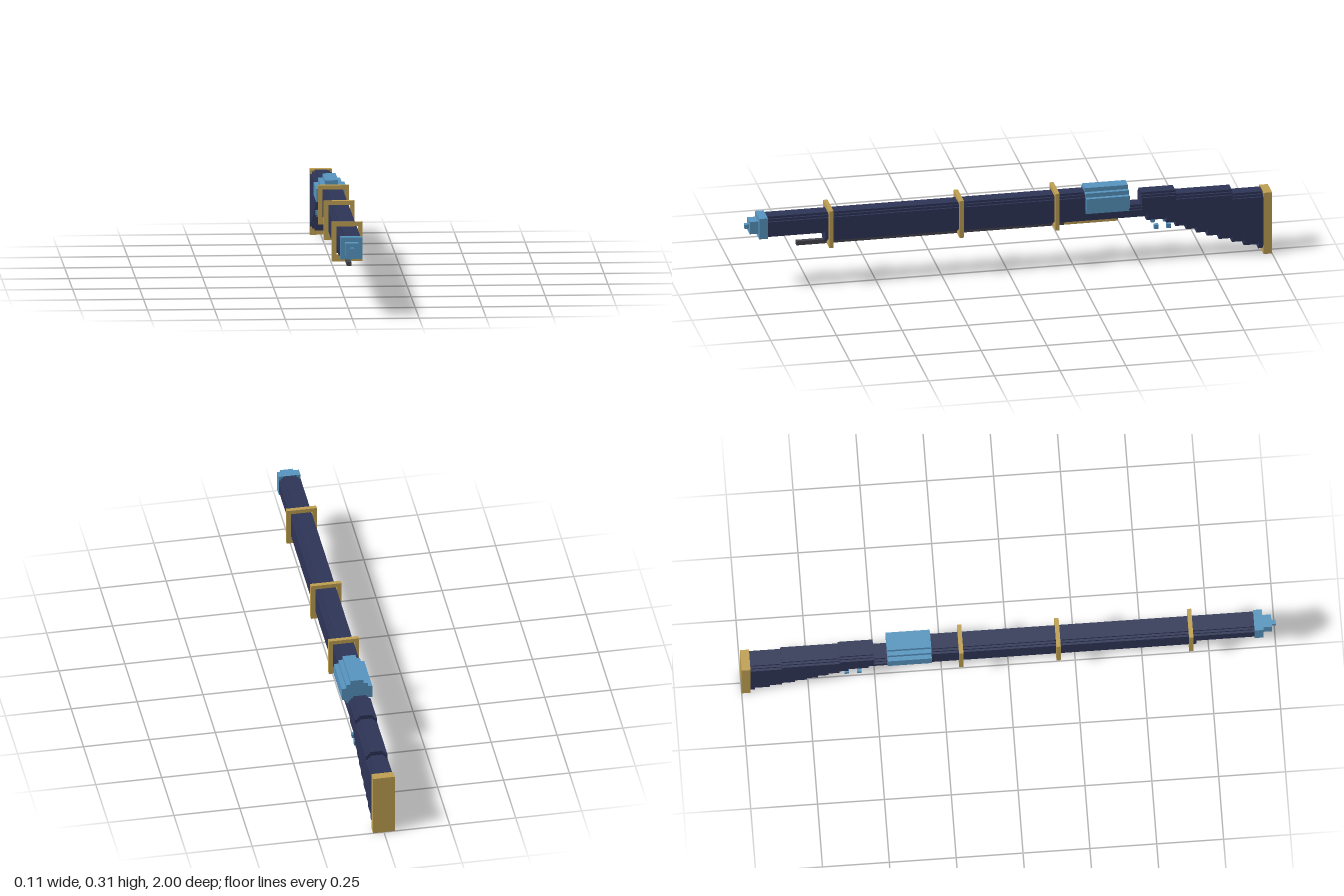
import * as THREE from 'three';

const U = 2 / 122; // block size
const H = U / 2;

export function createModel() {
  const group = new THREE.Group();
  group.name = 'rifle';
  const mat = (name, color) => {
    const m = new THREE.MeshStandardMaterial({ color });
    m.name = name;
    return m;
  };
  const navy = mat('navy', 0x2e3557);
  const blue = mat('steel blue', 0x5795c0);
  const gold = mat('brass', 0xc0a052);
  const grey = mat('dark grey', 0x45454d);

  // extrude an outline from z0 up to z1
  const extrude = (name, pts, z0, z1, material) => {
    const shape = new THREE.Shape(pts.map(([x, y]) => new THREE.Vector2(x, y)));
    const geo = new THREE.ExtrudeGeometry(shape, { depth: z1 - z0, bevelEnabled: false });
    const mesh = new THREE.Mesh(geo, material);
    mesh.name = name;
    mesh.position.z = z0;
    group.add(mesh);
    return mesh;
  };
  // mirror a right-hand half outline (bottom to top) across x = 0
  const mirrored = (half) => [...half, ...half.map(([x, y]) => [-x, y]).reverse()];
  const box = (name, x0, x1, y0, y1, z0, z1, material) =>
    extrude(name, [[x0, y0], [x1, y0], [x1, y1], [x0, y1]], z0, z1, material);

  const W = 2.5 * U;
  // stepped edges that round off the bottom and top of a bar
  const bottom = (y) => [[W - U, y], [W - U, y + H], [W - H, y + H], [W - H, y + U], [W, y + U]];
  const top = (y) => [[W, y - U], [W - H, y - U], [W - H, y - H], [W - U, y - H], [W - U, y]];
  const bar = (name, y0, y1, z0, z1, roundBottom = true, roundTop = true) =>
    extrude(name, mirrored([
      ...(roundBottom ? bottom(y0) : [[W, y0]]),
      ...(roundTop ? top(y1) : [[W, y1]]),
    ]), z0, z1, navy);

  const yr = 0.167;       // ramrod level
  const yf = yr + U;      // underside of fore stock
  const yc = 0.258;       // bore axis

  // barrel and fore stock
  bar('barrel', yc - W, yc + W, 0.69, 0.918);
  bar('foreStock', yf, yc + W, -0.29, 0.7);
  bar('lockBed', yf, 0.233, -0.455, -0.29, true, false);
  bar('wrist', yf, 0.233, -0.51, -0.455, true, true);

  // stepped muzzle
  [[2.5, 0.918, 0.951], [1.5, 0.951, 0.984], [0.5, 0.984, 1]].forEach(([r, z0, z1]) =>
    box('muzzle', -r * U, r * U, yc - r * U, yc + r * U, z0, z1, blue));

  // lock housing
  extrude('lock', mirrored([
    [W + 0.0005, 0.217], [W + 0.0005, 0.233], [3.5 * U, 0.233], [3.5 * U, 0.283],
    [W, 0.283], [W, 0.299], [1.5 * U, 0.299], [1.5 * U, 0.315],
  ]), -0.455, -0.29, blue);

  // barrel bands, open below for the ramrod
  for (const z of [0.68, 0.184, -0.18]) {
    extrude('barrelBand', mirrored([
      [H, yr], [3.5 * U, yr], [3.5 * U, 0.315],
    ]).concat([
      [-H, yr], [-H, yf], [-W + U, yf], [-W + U, yf + H], [-W, yf + H], [-W, 0.299],
      [W, 0.299], [W, yf + H], [W - U, yf + H], [W - U, yf], [H, yf],
    ]).filter((p, i, a) => i === 0 || p[0] !== a[i - 1][0] || p[1] !== a[i - 1][1]),
    z - H, z + H, gold);
  }

  // ramrod and brass rail behind it
  box('ramrod', -H, H, yr, yf, -0.215, 0.803, grey);
  box('rail', -H, H, yr, yf, -0.42, -0.215, gold);

  // butt stock: slices dropping in steps toward the rear
  const topAt = (z) => (z > -0.63 ? 0.28 : z > -0.85 ? 0.264 : 0.247);
  const cuts = [-0.505, -0.525, -0.6, -0.635, -0.675, -0.715, -0.755, -0.8, -0.85, -0.895, -0.95, -0.967];
  const lows = [yf, yr, 0.15, 0.134, 0.118, 0.101, 0.085, 0.068, 0.052, 0.035, 0.018];
  lows.forEach((low, i) => {
    bar('buttStock', low, topAt((cuts[i] + cuts[i + 1]) / 2), cuts[i + 1], cuts[i]);
  });
  box('buttPlate', -W, W, 0, 0.247, -1, -0.967, gold);

  // small studs under the grip
  for (const s of [-1, 1]) {
    for (const z of [-0.56, -0.607]) {
      const x = s * (W - H);
      box('gripStud', x - H, x + H, 0.135, 0.135 + U, z - H, z + H, blue);
    }
  }
  return group;
}
